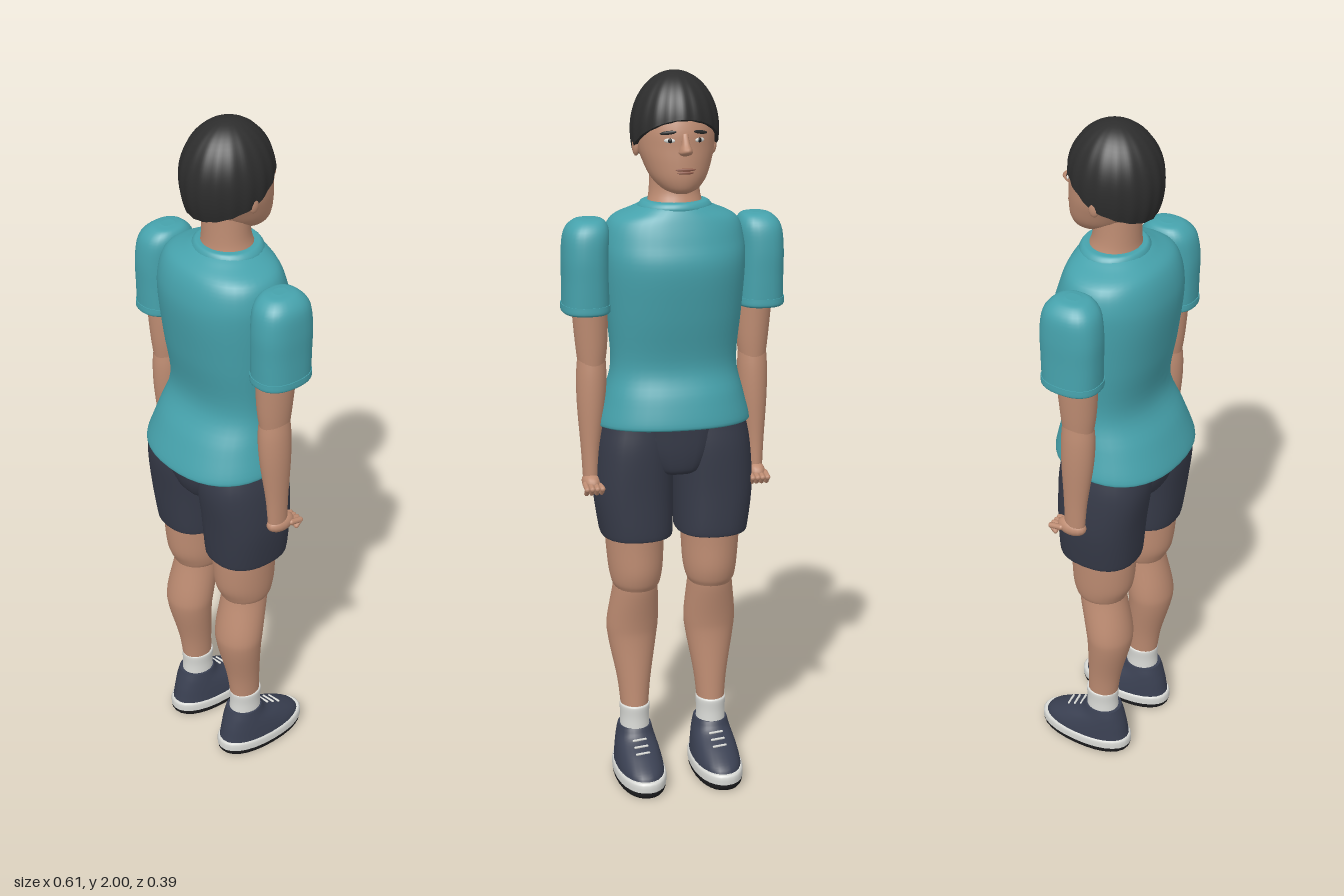
import * as THREE from 'three';

const material = (name, color) => {
  const m = new THREE.MeshStandardMaterial({ color });
  m.name = name;
  return m;
};
const skin = material('skin', 0xbf8d73);
const hairDark = material('hair', 0x2d2d2d);
const teal = material('shirt teal', 0x46a2ac);
const navy = material('shorts navy', 0x363a48);
const shoeBlue = material('shoe blue', 0x3a4052);
const white = material('white', 0xd9dad6);
const black = material('sole black', 0x1d1d1f);
const lip = material('lip', 0x8f5b4b);

const spow = (v, p) => Math.sign(v) * Math.abs(v) ** (2 / p);

// Smooth interpolation through rows of [y, cx, cz, rx, rz]
function sampler(rows) {
  const a = new THREE.CatmullRomCurve3(rows.map(r => new THREE.Vector3(r[0], r[1], r[2])), false, 'catmullrom', 0.5);
  const b = new THREE.CatmullRomCurve3(rows.map(r => new THREE.Vector3(r[3], r[4], 0)), false, 'catmullrom', 0.5);
  return t => {
    const p = a.getPoint(t), q = b.getPoint(t);
    return [p.x, p.y, p.z, Math.max(q.x, 0.001), Math.max(q.y, 0.001)];
  };
}

// Closed surface from a grid of rings, point(t, angle), running top to bottom
function ringSurface(name, mat, point, rings, seg) {
  const pos = [], idx = [];
  const addRing = t => {
    const start = pos.length / 3;
    for (let j = 0; j < seg; j++) pos.push(...point(t, (j / seg) * Math.PI * 2));
    return start;
  };
  for (let i = 0; i <= rings; i++) addRing(i / rings);
  for (let i = 0; i < rings; i++) for (let j = 0; j < seg; j++) {
    const k = (j + 1) % seg, u = i * seg, d = u + seg;
    idx.push(u + j, u + k, d + k, u + j, d + k, d + j);
  }
  for (const t of [0, 1]) {
    const s = addRing(t), c = new THREE.Vector3();
    for (let j = 0; j < seg; j++) c.add(new THREE.Vector3().fromArray(pos, (s + j) * 3));
    const m = pos.length / 3;
    pos.push(...c.divideScalar(seg).toArray());
    for (let j = 0; j < seg; j++) {
      const k = s + (j + 1) % seg;
      t ? idx.push(m, s + j, k) : idx.push(m, k, s + j);
    }
  }
  const g = new THREE.BufferGeometry();
  g.setAttribute('position', new THREE.Float32BufferAttribute(pos, 3));
  g.setIndex(idx);
  g.computeVertexNormals();
  const mesh = new THREE.Mesh(g, mat);
  mesh.name = name;
  return mesh;
}

function loft(name, mat, rows, { power = 2, seg = 28, sub = 5, lift = () => 0 } = {}) {
  const at = sampler(rows);
  return ringSurface(name, mat, (t, a) => {
    const [y, cx, cz, rx, rz] = at(t);
    const z = cz - rz * spow(Math.cos(a), power);
    return [cx + rx * spow(Math.sin(a), power), y + lift(y, z), z];
  }, (rows.length - 1) * sub, seg);
}

function ball(name, mat, [x, y, z], [sx, sy, sz]) {
  const m = new THREE.Mesh(new THREE.SphereGeometry(1, 16, 12), mat);
  m.name = name;
  m.position.set(x, y, z);
  m.scale.set(sx, sy, sz);
  return m;
}

function rod(name, mat, from, to, r) {
  const a = new THREE.Vector3(...from), b = new THREE.Vector3(...to), d = b.clone().sub(a);
  const m = new THREE.Mesh(new THREE.CapsuleGeometry(r, d.length(), 4, 8), mat);
  m.name = name;
  m.position.copy(a).add(b).multiplyScalar(0.5);
  m.quaternion.setFromUnitVectors(new THREE.Vector3(0, 1, 0), d.normalize());
  return m;
}

function buildHead() {
  const g = new THREE.Group();
  g.name = 'head';
  const rows = [[1.965, 0, -0.012, 0.05, 0.055], [1.92, 0, -0.012, 0.092, 0.1], [1.86, 0, -0.015, 0.104, 0.12],
    [1.81, 0, -0.022, 0.102, 0.116], [1.77, 0, -0.038, 0.091, 0.102], [1.73, 0, -0.055, 0.074, 0.084],
    [1.702, 0, -0.076, 0.048, 0.054], [1.69, 0, -0.085, 0.022, 0.028]];
  g.add(loft('face', skin, rows));
  g.add(loft('neck', skin, [[1.78, 0, -0.01, 0.066, 0.065], [1.7, 0, -0.008, 0.067, 0.062],
    [1.66, 0, -0.012, 0.073, 0.068], [1.63, 0, -0.015, 0.085, 0.078]]));
  // Cap of hair with soft locks and a hairline rising towards the forehead
  g.add(ringSurface('hair', hairDark, (t, a) => {
    const c = Math.cos(a), edge = 1.8 + (c > 0 ? 0.085 : 0.042) * c;
    const s = Math.sin(t * Math.PI / 2), y = 2 - (2 - edge) * (1 - Math.cos(t * Math.PI / 2)) ** 0.85;
    const h = y > 1.85 ? (y - 1.85) / 0.15 : (1.85 - y) / 0.18;
    const f = Math.sqrt(Math.max(0, 1 - h * h)) * (1 + 0.012 * s * Math.cos(18 * a));
    return [0.116 * f * Math.sin(a), y, -0.012 - 0.127 * f * c];
  }, 20, 108));
  // Nose
  g.add(loft('nose', skin, [[1.85, 0, -0.132, 0.008, 0.008], [1.825, 0, -0.139, 0.011, 0.018],
    [1.81, 0, -0.14, 0.016, 0.031], [1.8, 0, -0.138, 0.018, 0.026], [1.793, 0, -0.134, 0.01, 0.01]], { seg: 14 }));
  // Thin features laid on the face surface
  const at = sampler(rows);
  const feature = (name, mat, x, y, w, h, tilt = 0, out = 0) => {
    let t = 0;
    while (t < 1 && at(t)[0] > y) t += 0.002;
    const [, , cz, rx, rz] = at(t), k = Math.sqrt(1 - (x / rx) ** 2);
    const m = ball(name, mat, [x, y, cz - rz * k - out], [w, h, 0.004]);
    m.rotation.set(0, Math.atan2(x / (rx * rx), -k / rz), tilt, 'YXZ');
    g.add(m);
  };
  for (const s of [-1, 1]) {
    feature('eyeWhite', white, s * 0.04, 1.832, 0.015, 0.006);
    feature('iris', black, s * 0.039, 1.832, 0.006, 0.006, 0, 0.002);
    feature('eyebrow', hairDark, s * 0.043, 1.852, 0.023, 0.005, s * 0.15);
    g.add(ball('ear', skin, [s * 0.104, 1.805, -0.012], [0.01, 0.026, 0.016]));
  }
  feature('upperLip', lip, 0, 1.757, 0.027, 0.004);
  feature('lowerLip', lip, 0, 1.749, 0.022, 0.004);
  return g;
}

function buildShirt() {
  const g = new THREE.Group();
  g.name = 'shirt';
  g.add(loft('torso', teal, [[1.655, 0, -0.015, 0.085, 0.08], [1.64, 0, -0.008, 0.115, 0.098], [1.612, 0, 0.003, 0.17, 0.122],
    [1.56, 0, 0.004, 0.19, 0.141], [1.49, 0, -0.002, 0.193, 0.151], [1.36, 0, -0.002, 0.184, 0.134],
    [1.22, 0, 0, 0.173, 0.111], [1.13, 0, 0.01, 0.193, 0.146], [1.055, 0, 0.019, 0.213, 0.171], [1.043, 0, 0.019, 0.204, 0.163]],
  { power: 2.25, seg: 40, lift: (y, z) => -z * 0.09 * THREE.MathUtils.clamp((1.25 - y) / 0.2, 0, 1) }));
  g.add(loft('collar', teal, [[1.662, 0, -0.014, 0.076, 0.073], [1.66, 0, -0.014, 0.089, 0.084],
    [1.648, 0, -0.014, 0.1, 0.091], [1.635, 0, -0.012, 0.1, 0.09]]));
  return g;
}

function buildArm(s) {
  const g = new THREE.Group();
  g.name = s < 0 ? 'leftArm' : 'rightArm';
  const x = s * 0.24;
  g.add(loft('sleeve', teal, [[1.617, s * 0.228, 0.005, 0.016, 0.02], [1.61, s * 0.23, 0.005, 0.042, 0.05],
    [1.58, s * 0.236, 0.006, 0.06, 0.075], [1.52, x, 0.007, 0.063, 0.084], [1.45, x, 0.007, 0.063, 0.083],
    [1.385, x, 0.007, 0.064, 0.081]], { power: 2.4 }));
  g.add(loft('cuff', teal, [[1.388, x, 0.007, 0.066, 0.083], [1.37, x, 0.007, 0.066, 0.083], [1.364, x, 0.007, 0.061, 0.077]], { power: 2.4 }));
  g.add(loft('upperArm', skin, [[1.42, s * 0.228, 0.012, 0.05, 0.06], [1.35, s * 0.227, 0.013, 0.048, 0.056],
    [1.27, s * 0.225, 0.013, 0.043, 0.05], [1.21, s * 0.225, 0.012, 0.036, 0.043]]));
  g.add(loft('forearm', skin, [[1.24, s * 0.225, 0.012, 0.038, 0.042], [1.18, s * 0.226, 0.012, 0.041, 0.047],
    [1.1, s * 0.228, 0.01, 0.038, 0.045], [0.98, s * 0.232, 0.005, 0.026, 0.034], [0.9, s * 0.233, 0.002, 0.021, 0.03]]));
  // Hand bent forward with four curled fingers
  g.add(ball('palm', skin, [s * 0.233, 0.888, -0.008], [0.026, 0.026, 0.044]));
  for (let i = 0; i < 4; i++) {
    const fx = s * (0.212 + i * 0.014);
    g.add(rod('finger', skin, [fx, 0.888, -0.03], [fx, 0.882, -0.062], 0.008));
    g.add(rod('fingertip', skin, [fx, 0.882, -0.062], [fx, 0.867, -0.048], 0.007));
  }
  g.add(rod('thumb', skin, [s * 0.212, 0.885, -0.005], [s * 0.21, 0.868, -0.034], 0.009));
  return g;
}

function buildLeg(s) {
  const g = new THREE.Group();
  g.name = s < 0 ? 'leftLeg' : 'rightLeg';
  const x = s * 0.108;
  g.add(loft('shortsLeg', navy, [[1.06, s * 0.1, 0.018, 0.1, 0.116], [0.98, s * 0.109, 0.021, 0.107, 0.127],
    [0.86, s * 0.113, 0.014, 0.109, 0.12], [0.745, s * 0.107, 0.007, 0.101, 0.114], [0.73, s * 0.106, 0.007, 0.096, 0.108]], { power: 2.4 }));
  g.add(loft('thigh', skin, [[0.78, x, 0.015, 0.086, 0.098], [0.7, x, 0.015, 0.081, 0.094],
    [0.63, s * 0.107, 0.012, 0.076, 0.089], [0.59, s * 0.107, 0.008, 0.069, 0.077], [0.57, s * 0.107, 0.008, 0.06, 0.067]]));
  g.add(loft('calf', skin, [[0.6, s * 0.107, 0.01, 0.06, 0.066], [0.56, s * 0.108, 0.014, 0.064, 0.068],
    [0.46, s * 0.112, 0.034, 0.073, 0.066], [0.4, s * 0.113, 0.036, 0.068, 0.062], [0.28, s * 0.112, 0.019, 0.047, 0.049],
    [0.18, s * 0.112, 0.01, 0.037, 0.044]]));
  g.add(loft('sock', white, [[0.212, s * 0.112, 0.01, 0.04, 0.046], [0.205, s * 0.112, 0.01, 0.043, 0.049],
    [0.17, s * 0.112, 0.01, 0.041, 0.047], [0.12, s * 0.112, 0.01, 0.043, 0.05]]));
  // Shoe
  const fx = s * 0.112;
  g.add(loft('shoeUpper', shoeBlue, [[0.146, fx, 0.014, 0.047, 0.053], [0.12, fx, 0.008, 0.053, 0.068], [0.09, fx, -0.018, 0.06, 0.103],
    [0.06, fx, -0.04, 0.065, 0.131], [0.035, fx, -0.045, 0.067, 0.141]], { power: 2.2 }));
  g.add(loft('midsole', white, [[0.047, fx, -0.046, 0.067, 0.143], [0.04, fx, -0.047, 0.071, 0.148], [0.02, fx, -0.047, 0.071, 0.148]], { power: 2.2, sub: 2 }));
  g.add(loft('outsole', black, [[0.021, fx, -0.047, 0.07, 0.147], [0.008, fx, -0.047, 0.069, 0.145], [0, fx, -0.047, 0.064, 0.138]], { power: 2.2, sub: 2 }));
  for (let i = 0; i < 3; i++) {
    const z = -0.062 - i * 0.022, y = 0.121 - i * 0.011;
    g.add(rod('lace', white, [fx - 0.018, y, z + 0.006], [fx + 0.018, y, z], 0.0035));
  }
  return g;
}

export function createModel() {
  const model = new THREE.Group();
  model.name = 'standingMan';
  model.add(buildHead(), buildShirt());
  // Waist and crotch of the shorts
  model.add(loft('shortsWaist', navy, [[1.08, 0, 0.018, 0.19, 0.115], [1.02, 0, 0.021, 0.205, 0.125], [0.98, 0, 0.02, 0.195, 0.115]], { power: 2.4 }));
  model.add(loft('shortsCrotch', navy, [[1.05, 0, 0.02, 0.125, 0.13], [0.98, 0, 0.02, 0.105, 0.128],
    [0.93, 0, 0.016, 0.075, 0.116], [0.915, 0, 0.014, 0.055, 0.1]], { power: 3 }));
  for (const s of [-1, 1]) model.add(buildArm(s), buildLeg(s));
  return model;
}
